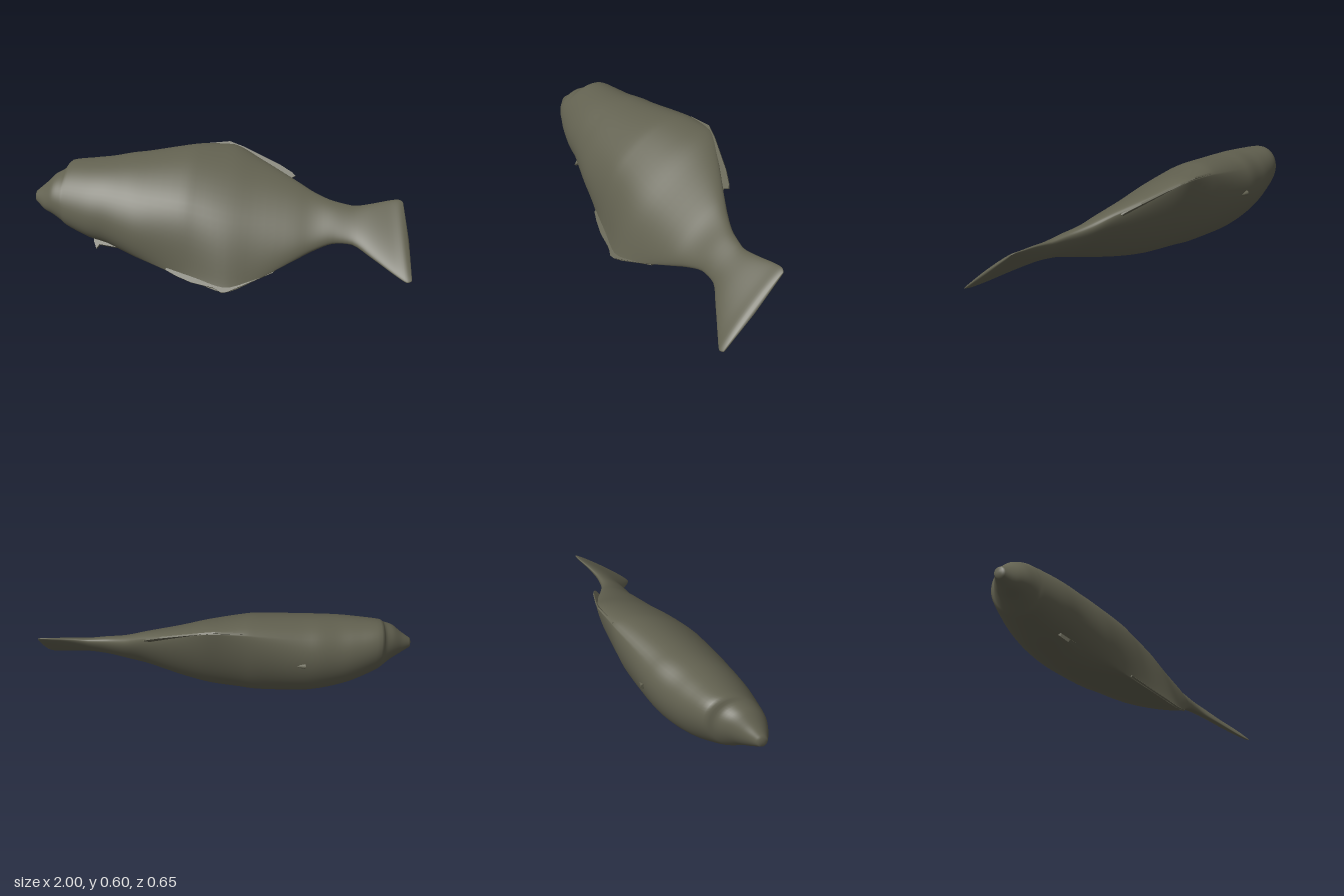
import * as THREE from 'three';

// Cross-sections along the fish:
// x, centre height, centre side, half height, half thickness, back pinch, belly pinch
const SECTIONS = [
  [-1.0, 0.033, 0.05, 0.028, 0.024, 1, 1], [-0.95, 0.034, 0.05, 0.075, 0.055, 1, 1],
  [-0.9, 0.048, 0.051, 0.115, 0.088, 1, 1], [-0.85, 0.053, 0.038, 0.15, 0.115, 1, 1],
  [-0.82, 0.069, 0.03, 0.188, 0.13, 1, 1], [-0.7, 0.057, 0.011, 0.226, 0.165, 1, 1],
  [-0.6, 0.054, 0, 0.248, 0.184, 1, 1], [-0.5, 0.047, -0.008, 0.283, 0.194, 1, 1.05],
  [-0.4, 0.035, -0.01, 0.314, 0.198, 1, 1.25], [-0.2, 0.02, -0.008, 0.376, 0.195, 1.05, 2.2],
  [-0.1, 0.012, -0.006, 0.402, 0.183, 1.2, 2.5], [0.05, -0.01, -0.005, 0.428, 0.16, 1.45, 2.6],
  [0.2, -0.02, 0, 0.352, 0.125, 1.35, 2.1], [0.4, -0.027, 0.017, 0.228, 0.075, 1.15, 1.25],
  [0.5, -0.029, 0.02, 0.165, 0.055, 1, 1], [0.6, -0.031, 0.029, 0.12, 0.042, 1, 1],
  [0.7, -0.044, 0.034, 0.11, 0.031, 1, 1], [0.8, -0.072, 0.04, 0.155, 0.025, 1, 1],
  [0.9, -0.103, 0.043, 0.21, 0.02, 1, 1], [0.955, -0.119, 0.047, 0.234, 0.017, 1, 1],
  [0.98, -0.12, 0.048, 0.222, 0.007, 1, 1],
];

// Smoothly interpolated section at a fractional row
function sectionAt(f) {
  const last = SECTIONS.length - 1;
  const i = Math.min(Math.floor(f), last - 1), t = f - i;
  const row = (k) => SECTIONS[Math.max(0, Math.min(last, k))];
  return row(i).map((_, c) => {
    const [p0, p1, p2, p3] = [row(i - 1)[c], row(i)[c], row(i + 1)[c], row(i + 2)[c]];
    const d = p2 - p1;
    // Tangents limited to avoid overshoot between unevenly spaced rows
    const limit = (m) => (d >= 0 ? Math.max(0, Math.min(2 * d, m)) : Math.min(0, Math.max(2 * d, m)));
    const m1 = limit((p2 - p0) / 2), m2 = limit((p3 - p1) / 2);
    return p1 + t * m1 + t * t * (3 * d - 2 * m1 - m2) + t * t * t * (m1 + m2 - 2 * d);
  });
}

// Closed skin lofted through the sections, from snout to tail edge
function bodyGeometry() {
  const steps = 4, sides = 56, rings = (SECTIONS.length - 1) * steps + 1;
  const positions = [], index = [];
  for (let r = 0; r < rings; r++) {
    const [x, cu, cn, a, b, back, belly] = sectionAt(r / steps);
    const shear = 0.02 * THREE.MathUtils.smoothstep(x, 0.75, 0.97);
    const twist = Math.max(0, x - 0.6) * 0.22;
    for (let s = 0; s < sides; s++) {
      const t = (s / sides) * Math.PI * 2, c = Math.cos(t), n = Math.sin(t);
      // The underside thins more quickly towards the back edge
      const pinch = c < 0 ? belly : n > 0 ? back : back + 0.3 * (belly - 1);
      positions.push(x - shear * c, cu + a * c, cn + Math.sign(n) * b * Math.abs(n) ** pinch - twist * a * c);
      if (r < rings - 1) {
        const p = r * sides + s, q = r * sides + (s + 1) % sides;
        index.push(p, q, p + sides, q, q + sides, p + sides);
      }
    }
  }
  // End caps
  const first = SECTIONS[0], end = SECTIONS[SECTIONS.length - 1];
  const nose = positions.length / 3, tail = nose + 1, base = (rings - 1) * sides;
  positions.push(first[0] - 0.004, first[1], first[2], end[0] + 0.008, end[1], end[2]);
  for (let s = 0; s < sides; s++) {
    const s2 = (s + 1) % sides;
    index.push(nose, s2, s, tail, base + s, base + s2);
  }
  const g = new THREE.BufferGeometry();
  g.setAttribute('position', new THREE.Float32BufferAttribute(positions, 3));
  g.setIndex(index);
  g.computeVertexNormals();
  return g;
}

// Thin fin plate cut from an outline in the body's middle plane
function finGeometry(points, depth) {
  const shape = new THREE.Shape(points.map(([x, y]) => new THREE.Vector2(x, y)));
  return new THREE.ExtrudeGeometry(shape, { depth, bevelEnabled: false }).translate(0, 0, -depth / 2);
}

export function createModel() {
  const skin = new THREE.MeshStandardMaterial({ color: 0x626150 });
  skin.name = 'olive skin';
  const model = new THREE.Group();
  model.name = 'flatfish';

  // Leaning frame: local y runs belly to back, local z across the thickness
  const fish = new THREE.Group();
  fish.name = 'leaningFish';
  fish.position.y = 0.3;
  fish.rotation.x = -0.824;
  model.add(fish);

  const add = (name, geometry) => {
    const mesh = new THREE.Mesh(geometry, skin);
    mesh.name = name;
    fish.add(mesh);
    return mesh;
  };

  add('body', bodyGeometry());

  // Fins along the back and belly
  add('dorsalFin', finGeometry([[-0.12, 0.36], [0.37, 0.19], [0.365, 0.222], [0.39, 0.238],
    [0.375, 0.256], [0.3, 0.304], [0.1, 0.402], [0.02, 0.432], [-0.12, 0.413]], 0.008));
  add('analFin', finGeometry([[0.32, -0.2], [-0.25, -0.25], [-0.26, -0.335], [-0.2, -0.365], [-0.12, -0.395],
    [0, -0.418], [0.04, -0.44], [0.07, -0.437], [0.18, -0.38], [0.3, -0.318], [0.325, -0.285]], 0.008));
  add('pelvicFin', finGeometry([[-0.52, -0.15], [-0.68, -0.1], [-0.67, -0.185], [-0.65, -0.23],
    [-0.635, -0.205], [-0.52, -0.22]], 0.014).translate(0, 0, -0.025));

  // Small side fin on the underside
  const pectoral = add('pectoralFin', new THREE.ConeGeometry(0.028, 0.08, 12));
  pectoral.scale.z = 0.6;
  pectoral.rotation.set(-0.45, 0, -Math.PI / 2);
  pectoral.position.set(-0.39, 0.266, -0.125);

  return model;
}
